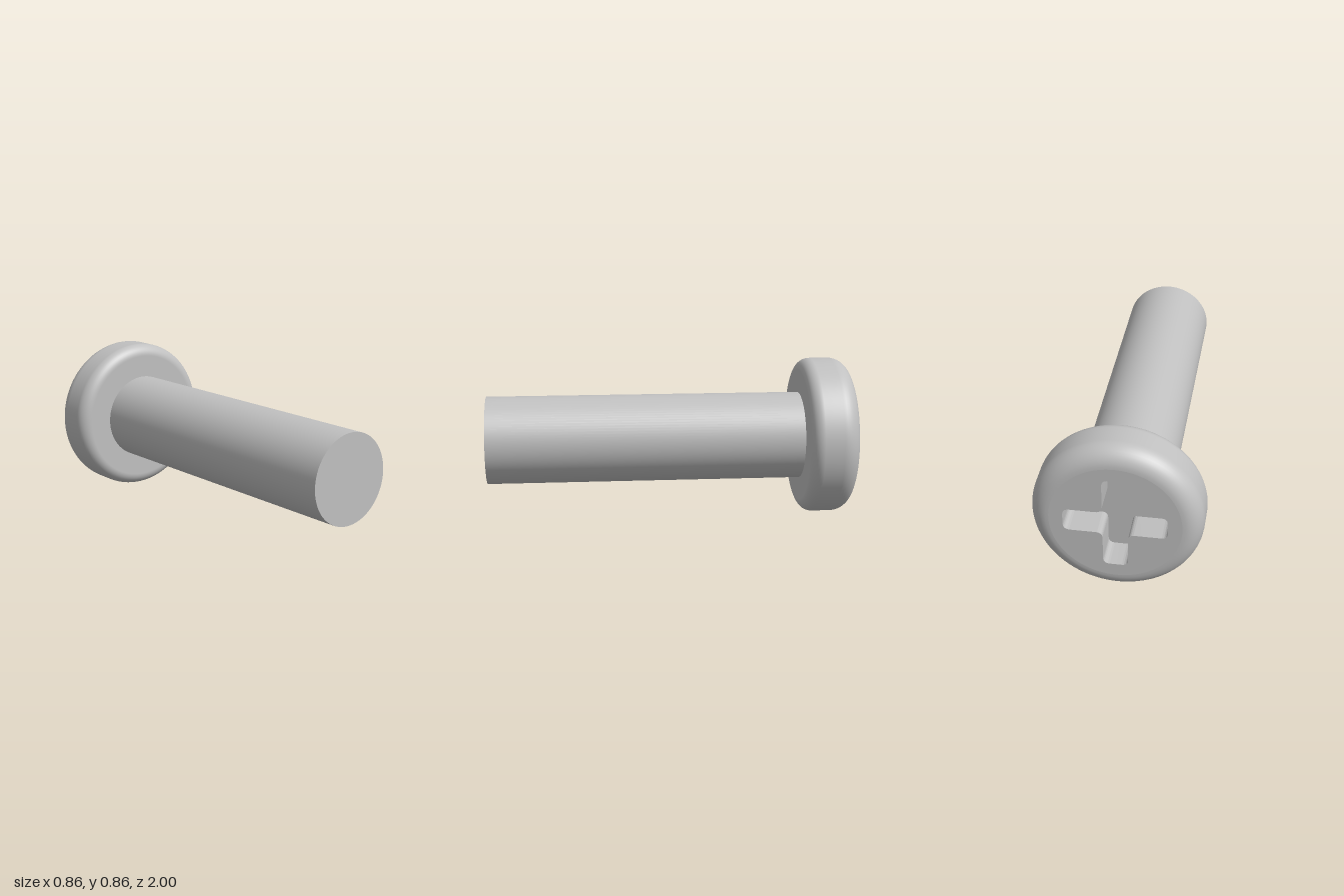
import * as THREE from 'three';
import { toCreasedNormals } from 'three/addons/utils/BufferGeometryUtils.js';

const AXIS_Y = 0.43, BACK = -1, SEAT = -0.73, TIP = 1;
const HEAD_R = 0.43, SHAFT_R = 0.24, FACE_R = 0.33, RECESS_DEPTH = 0.16;

// Closed outline whose corners are all rounded by radius r
function roundedOutline(corners, r, Type) {
  const outline = new Type();
  corners.forEach((p, i) => {
    const prev = corners[(i + corners.length - 1) % corners.length];
    const next = corners[(i + 1) % corners.length];
    const a = p.clone().add(prev.clone().sub(p).setLength(r));
    const b = p.clone().add(next.clone().sub(p).setLength(r));
    if (i === 0) outline.moveTo(a.x, a.y);
    else outline.lineTo(a.x, a.y);
    outline.quadraticCurveTo(p.x, p.y, b.x, b.y);
  });
  outline.closePath();
  return outline;
}

// Corners of a cross: three per quarter turn
function crossCorners(reach, half) {
  const corners = [];
  for (let q = 0; q < 4; q++) {
    for (const [x, y] of [[reach, -half], [reach, half], [half, half]]) {
      corners.push(new THREE.Vector2(x, y).rotateAround(new THREE.Vector2(), q * Math.PI / 2));
    }
  }
  return corners;
}

// Quarter-circle fillet points for the head profile
function fillet(cx, cy, r, from) {
  return Array.from({ length: 11 }, (_, i) => {
    const a = from + (i / 10) * Math.PI / 2;
    return new THREE.Vector2(cx + r * Math.cos(a), cy + r * Math.sin(a));
  });
}

export function createModel() {
  const steel = new THREE.MeshStandardMaterial({ color: 0xc0c0c0 });
  steel.name = 'steel';
  const screw = new THREE.Group();
  screw.name = 'screw';
  const add = (name, geometry, z = 0) => {
    const mesh = new THREE.Mesh(geometry, steel);
    mesh.name = name;
    mesh.position.set(0, AXIS_Y, z);
    screw.add(mesh);
  };

  // Plain round shaft
  add('shaft', new THREE.CylinderGeometry(SHAFT_R, SHAFT_R, TIP - SEAT, 96).rotateX(Math.PI / 2), (TIP + SEAT) / 2);

  // Head: rounded rim and the flat seat behind the shaft
  const backR = HEAD_R - FACE_R, frontR = 0.065;
  const profile = [
    ...fillet(FACE_R, BACK + backR, backR, -Math.PI / 2),
    ...fillet(HEAD_R - frontR, SEAT - frontR, frontR, 0),
    new THREE.Vector2(SHAFT_R - 0.01, SEAT),
  ];
  add('headRim', new THREE.LatheGeometry(profile, 96).rotateX(Math.PI / 2));

  // Drive face with the cross recess cut through it
  const corners = crossCorners(0.26, 0.063);
  const face = new THREE.Shape().absarc(0, 0, FACE_R, 0, Math.PI * 2);
  face.holes.push(roundedOutline(corners, 0.035, THREE.Path));
  const faceGeometry = new THREE.ExtrudeGeometry(face, { depth: RECESS_DEPTH, bevelEnabled: false, curveSegments: 48 });
  add('driveFace', toCreasedNormals(faceGeometry, 0.6), BACK);

  // Floor of the recess
  const floor = new THREE.ShapeGeometry(roundedOutline(corners, 0.035, THREE.Shape), 48);
  add('recessFloor', floor.rotateY(Math.PI), BACK + RECESS_DEPTH);

  return screw;
}
